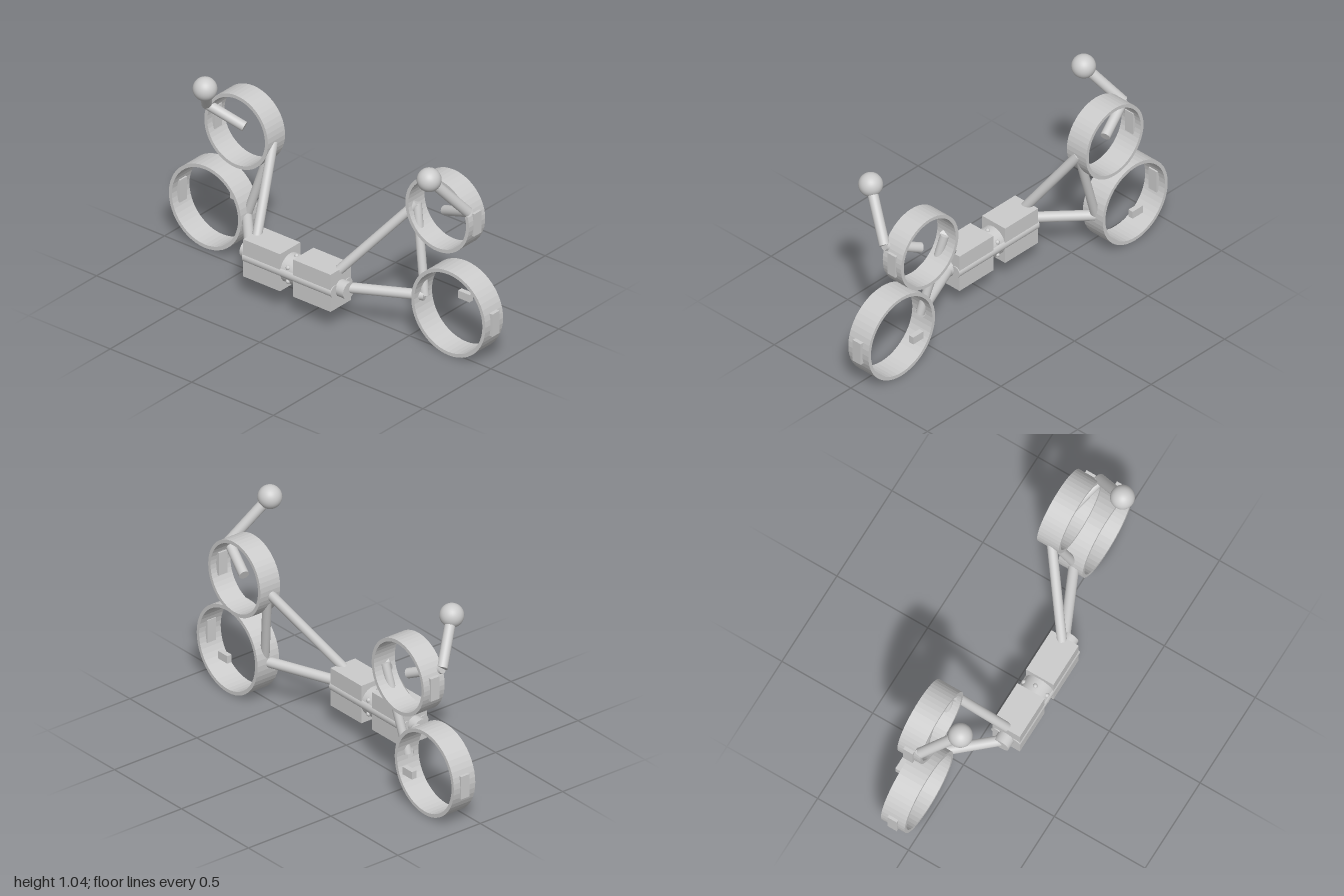
import * as THREE from 'three';

const grey = new THREE.MeshStandardMaterial({ color: 0xcccccc });
const faceted = new THREE.MeshStandardMaterial({ color: 0xcccccc, flatShading: true });
const V = (a) => new THREE.Vector3(...a);

export function createModel() {
  const model = new THREE.Group();

  const add = (name, geometry, pos, material = grey) => {
    const mesh = new THREE.Mesh(geometry, material);
    mesh.name = name;
    mesh.position.set(...pos);
    model.add(mesh);
    return mesh;
  };
  const box = (name, size, pos) => add(name, new THREE.BoxGeometry(...size), pos);
  // Round bar between two points
  const bar = (name, from, to, r) => {
    const a = V(from), b = V(to), dir = b.clone().sub(a);
    const mesh = add(name, new THREE.CylinderGeometry(r, r, dir.length(), 24),
      a.add(b).multiplyScalar(0.5).toArray());
    mesh.quaternion.setFromUnitVectors(new THREE.Vector3(0, 1, 0), dir.normalize());
    return mesh;
  };
  // Open drum with a thin wall, axis along z
  const hoop = (name, r, depth, pos) => {
    const w = 0.018, h = depth / 2;
    const profile = [[r - w, -h], [r, -h], [r, h], [r - w, h], [r - w, -h]]
      .map(([x, y]) => new THREE.Vector2(x, y));
    const mesh = add(name, new THREE.LatheGeometry(profile, 48), pos, faceted);
    mesh.rotation.x = Math.PI / 2;
  };

  // Central body: two blocks joined by an axle and side rods
  const by = 0.213, bz = 0.138;
  box('leftBlock', [0.23, 0.2, 0.15], [0.08, by, bz]);
  box('rightBlock', [0.225, 0.2, 0.15], [-0.2275, by, bz]);
  bar('axle', [-0.13, by, bz], [-0.02, by, bz], 0.074);
  bar('axleCore', [-0.39, by, bz], [0.245, by, bz], 0.043);
  for (const s of [-1, 1]) {
    bar('sideRod', [-0.345, by, bz + s * 0.05], [0.2, by, bz + s * 0.05], 0.03);
  }
  for (let i = 0; i < 6; i++) {
    const a = Math.PI / 2 + i * Math.PI / 3;
    add('axleStud', new THREE.SphereGeometry(0.012, 12, 8),
      [-0.075, by + Math.sin(a) * 0.073, bz + Math.cos(a) * 0.073]);
  }

  // Each side: two hoops, linking arms, small blocks and a ball lever
  const sides = [
    {
      low: [0.762, 0.23, -0.038], lowR: 0.227, lowDepth: 0.131,
      high: [0.634, 0.683, -0.104], highDepth: 0.12,
      root: [0.18, by, bz], shoulder: [0.18, 0.3, 0.13],
      lowJoint: [0.565, 0.23, -0.035], highJoint: [0.465, 0.665, -0.1],
      tagX: 0.716, tagZ: -0.155,
      elbow: [0.82, 0.765, -0.047], ball: [0.73, 0.983, 0.13],
    },
    {
      low: [-0.773, 0.23, -0.09], lowR: 0.221, lowDepth: 0.13,
      high: [-0.607, 0.683, -0.118], highDepth: 0.126,
      root: [-0.36, by, bz], shoulder: [-0.325, 0.3, 0.13],
      lowJoint: [-0.57, 0.23, -0.09], highJoint: [-0.43, 0.665, -0.115],
      tagX: -0.724, tagZ: -0.205,
      elbow: [-0.79, 0.765, -0.06], ball: [-0.677, 0.952, 0.09],
    },
  ];
  for (const p of sides) {
    const s = Math.sign(p.low[0]);
    hoop('lowerHoop', p.lowR, p.lowDepth, p.low);
    hoop('upperHoop', 0.195, p.highDepth, p.high);
    bar('lowerArm', p.root, p.lowJoint, 0.026);
    bar('upperArm', p.shoulder, p.highJoint, 0.024);
    bar('hoopStrut', p.highJoint, p.lowJoint, 0.022);
    // Pads set through the outer rims
    box('lowerPad', [0.042, 0.12, 0.052], [s * 0.979, 0.23, p.low[2]]);
    box('upperPad', [0.042, 0.12, 0.052],
      [p.high[0] + s * (s > 0 ? 0.178 : 0.182), 0.683, p.high[2]]);
    box('tag', [0.07, 0.04, 0.027], [p.tagX, 0.231, p.tagZ]);
    // Bent lever with a ball end
    bar('leverBase', p.high, p.elbow, 0.025);
    bar('leverArm', p.elbow, p.ball, 0.026);
    add('leverBall', new THREE.SphereGeometry(0.059, 32, 20), p.ball);
  }
  return model;
}
